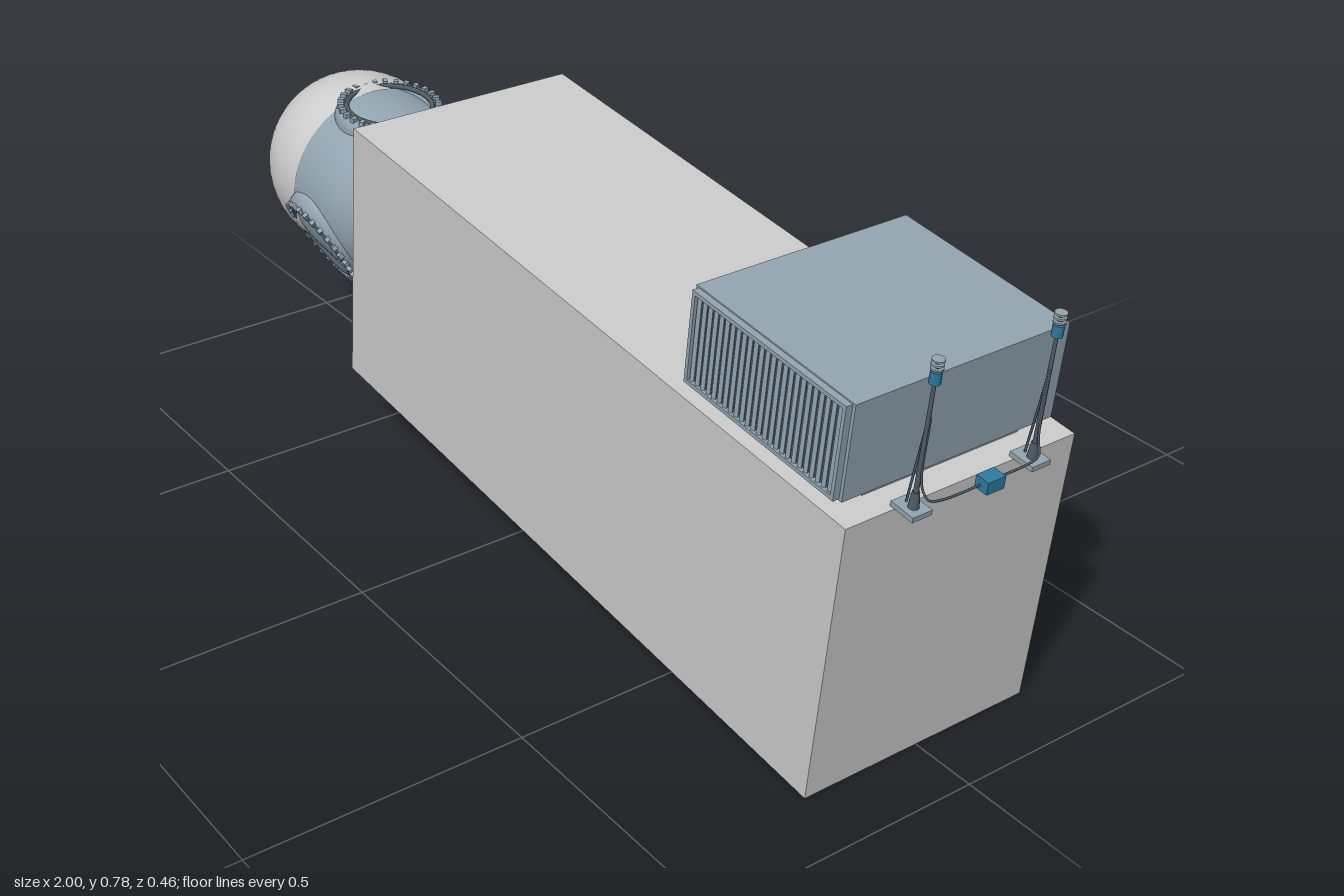
import * as THREE from 'three';

const mat = (color, side = THREE.FrontSide) => new THREE.MeshStandardMaterial({ color, side });
const grey = mat(0xcccccc);
const steel = mat(0x92a4b0);
const steelThin = mat(0x92a4b0, THREE.DoubleSide);
const dark = mat(0x4f5c66);
const blue = mat(0x2f7a9e);
const orange = mat(0xb8843c);

function add(parent, name, geometry, material, x = 0, y = 0, z = 0) {
  const mesh = new THREE.Mesh(geometry, material);
  mesh.name = name;
  mesh.position.set(x, y, z);
  parent.add(mesh);
  return mesh;
}
const box = (parent, name, material, w, h, d, x, y, z) =>
  add(parent, name, new THREE.BoxGeometry(w, h, d), material, x, y, z);
const cyl = (parent, name, material, r1, r2, h, x, y, z, n = 16) =>
  add(parent, name, new THREE.CylinderGeometry(r1, r2, h, n), material, x, y, z);
const group = (parent, name) => {
  const g = new THREE.Group();
  g.name = name;
  parent.add(g);
  return g;
};
const lathe = (pts, n) => new THREE.LatheGeometry(pts.map(p => new THREE.Vector2(...p)), n);

// Shell with one open end
function container(parent) {
  const g = group(parent, 'container');
  const L = 1.368, t = 0.014;
  box(g, 'floor', grey, L, 0.018, 0.46, 0, -0.252, 0);
  box(g, 'roof', grey, L, 0.016, 0.46, 0, 0.254, 0);
  for (const s of [-1, 1]) {
    box(g, 'sideWall', grey, L, 0.489, t, 0, 0.0015, s * (0.23 - t / 2));
    box(g, 'doorPost', grey, 0.012, 0.489, 0.014, -0.66, 0.0015, s * 0.209);
  }
  box(g, 'endWall', grey, t, 0.489, 0.432, L / 2 - t / 2, 0.0015, 0);
  const pin = cyl(g, 'underPin', dark, 0.004, 0.004, 0.06, -0.396, -0.276, 0, 8);
  pin.rotation.z = -0.3;
}

// Machinery and guard rail just inside the opening
function interior(parent) {
  const g = group(parent, 'interior');
  box(g, 'machineBase', blue, 0.16, 0.17, 0.24, -0.53, -0.158, 0);
  box(g, 'machineHousing', blue, 0.1, 0.09, 0.16, -0.53, -0.03, 0);
  for (const s of [-1, 1]) {
    const wheel = cyl(g, 'clamp', dark, 0.03, 0.03, 0.02, -0.59, -0.04, s * 0.085, 20);
    wheel.rotation.x = Math.PI / 2;
    box(g, 'railPost', orange, 0.008, 0.273, 0.008, -0.63, -0.107, s * 0.16);
  }
  box(g, 'railTop', orange, 0.008, 0.008, 0.328, -0.63, 0.03, 0);
}

// Rounded pod whose axis runs along the neck; its local +y points outwards
function pod(parent) {
  const g = group(parent, 'pod');
  g.position.set(-0.905, -0.04, 0);
  const axis = group(g, 'podShell');
  axis.rotation.z = Math.PI / 2;
  const R = 0.182, body = [];
  for (let i = 0; i <= 20; i++) {
    const a = -Math.PI / 2 + (i / 20) * Math.PI / 2;
    body.push([Math.max(0, R * Math.cos(a)), R * Math.sin(a)]);
  }
  body.push([R, 0.03], [R, 0.06], [0.18, 0.092]);
  add(axis, 'podBody', lathe(body, 56), steel);
  const dome = [], a0 = -0.3, c = 0.14, r = 0.184;
  for (let i = 0; i <= 28; i++) {
    const a = a0 + (i / 28) * (Math.PI / 2 - a0);
    dome.push([Math.max(0, r * Math.cos(a)), c + r * Math.sin(a)]);
  }
  add(axis, 'podDome', lathe(dome, 56), grey);
  cyl(axis, 'neck', steel, 0.04, 0.04, 0.25, 0, -0.28, 0, 32);

  // Three bolted ports spaced around the axis
  for (let k = 0; k < 3; k++) {
    const p = group(g, 'port');
    p.rotation.x = k * Math.PI * 2 / 3;
    const center = group(p, 'portRing');
    center.position.x = -0.03;
    add(center, 'collar', lathe([[0.105, 0.125], [0.108, 0.155], [0.102, 0.174],
      [0.085, 0.177], [0.08, 0.16]], 40), steelThin);
    const ring = add(center, 'innerRim', new THREE.TorusGeometry(0.084, 0.005, 8, 40), dark, 0, 0.176, 0);
    ring.rotation.x = Math.PI / 2;
    for (let i = 0; i < 28; i++) {
      const a = (i / 28) * Math.PI * 2;
      const bolt = box(center, 'bolt', steel, 0.012, 0.012, 0.009,
        Math.cos(a) * 0.096, 0.177, Math.sin(a) * 0.096);
      bolt.rotation.y = -a;
    }
  }
}

// Roof unit with a slatted grille
function roofUnit(parent) {
  const g = group(parent, 'roofUnit');
  g.position.set(0.467, 0.364, 0);
  box(g, 'housing', steel, 0.364, 0.17, 0.42, 0, 0, 0);
  for (const x of [-0.165, 0.05, 0.16]) box(g, 'mountRail', steel, 0.016, 0.02, 0.314, x, -0.093, 0);
  box(g, 'grilleBack', dark, 0.34, 0.16, 0.004, 0, 0, 0.211);
  for (const s of [-1, 1]) {
    box(g, 'grilleFrame', steel, 0.352, 0.007, 0.012, 0, s * 0.079, 0.216);
    box(g, 'grilleFrame', steel, 0.007, 0.165, 0.012, s * 0.1725, 0, 0.216);
  }
  for (let i = 0; i < 25; i++) {
    const slat = box(g, 'slat', steel, 0.007, 0.154, 0.003, -0.162 + i * 0.0135, 0, 0.217);
    slat.rotation.y = 0.5;
  }
}

// Pair of masts joined by a cable to a small junction box
function masts(parent) {
  const g = group(parent, 'masts');
  for (const s of [-1, 1]) {
    const m = group(g, 'mast');
    m.position.set(0.703, 0.262, s * 0.119);
    box(m, 'basePlate', steel, 0.048, 0.009, 0.038, -0.004, 0.005, 0);
    cyl(m, 'foot', dark, 0.006, 0.009, 0.03, 0, 0.022, 0);
    cyl(m, 'pole', dark, 0.003, 0.0045, 0.23, 0, 0.122, 0, 10);
    const brace = cyl(m, 'brace', dark, 0.002, 0.002, 0.16, -0.008, 0.085, 0, 6);
    brace.rotation.z = -0.1;
    cyl(m, 'sensor', blue, 0.009, 0.009, 0.02, 0, 0.235, 0);
    for (let i = 0; i < 3; i++) cyl(m, 'sensorDisc', steel, 0.01, 0.01, 0.003, 0, 0.25 + i * 0.007, 0);
    cyl(m, 'sensorStem', dark, 0.005, 0.005, 0.02, 0, 0.255, 0, 8);
    const path = new THREE.CatmullRomCurve3([[0.705, 0.43, 0.117], [0.71, 0.31, 0.116],
      [0.722, 0.291, 0.11], [0.728, 0.289, 0.09], [0.73, 0.289, 0]]
      .map(([x, y, z]) => new THREE.Vector3(x, y, s * z)));
    add(g, 'cable', new THREE.TubeGeometry(path, 32, 0.002, 6), dark);
  }
  box(g, 'junctionBox', blue, 0.026, 0.022, 0.035, 0.733, 0.291, 0);
}

export function createModel() {
  const model = new THREE.Group();
  model.name = 'model';
  // Everything shares the same slight downward tilt
  const tilted = group(model, 'tiltedAssembly');
  tilted.position.set(0.225, 0.3375, 0);
  tilted.rotation.z = -0.106;
  container(tilted);
  interior(tilted);
  pod(tilted);
  roofUnit(tilted);
  masts(tilted);
  return model;
}
